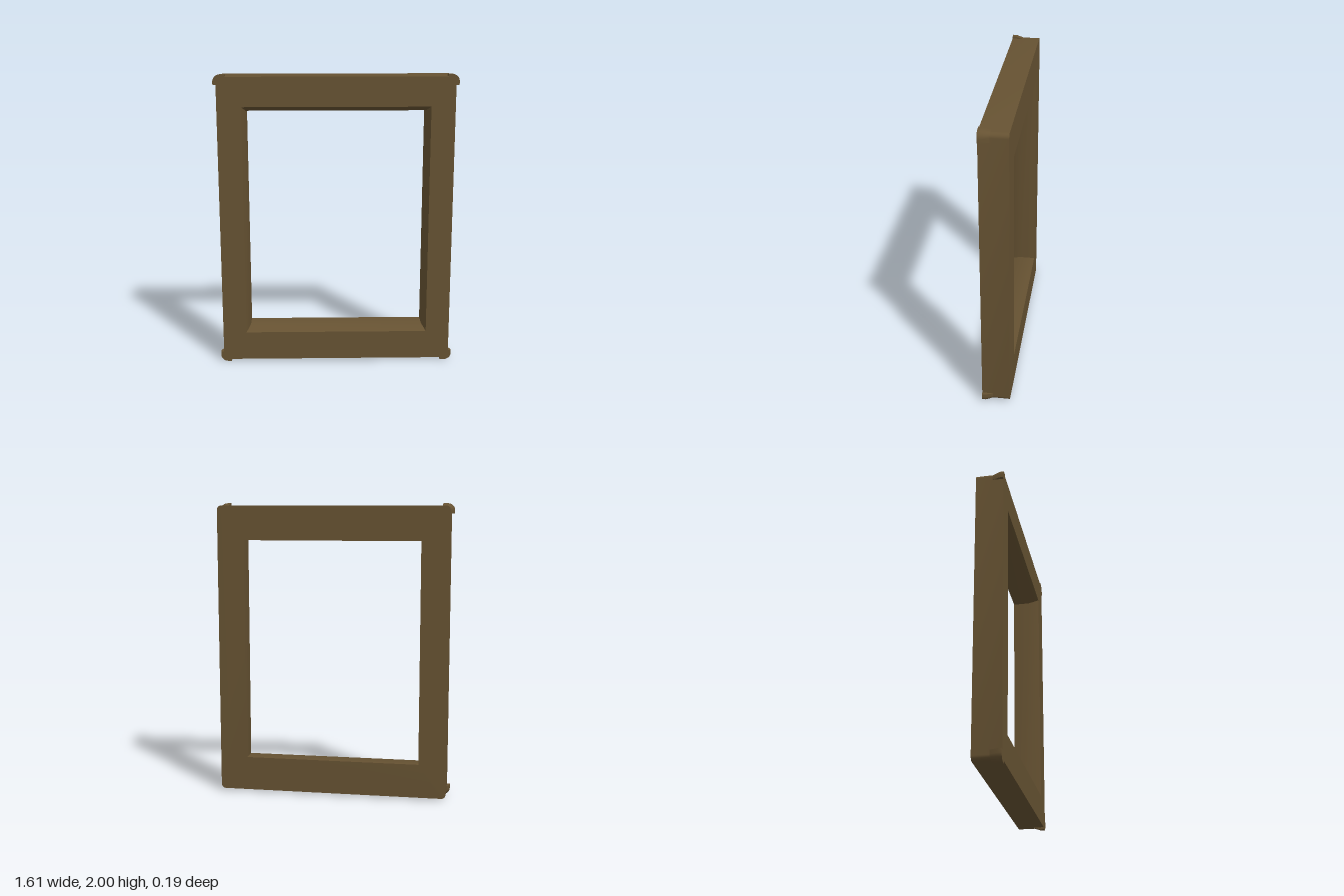
import * as THREE from 'three';
import { toCreasedNormals } from 'three/addons/utils/BufferGeometryUtils.js';

const HALF_W = 0.785, HALF_H = 0.985, RADIUS = 0.03, STEPS = 6;
const FRONT = 0.093;

// Skin a row of closed cross-sections; the row is either a loop or has capped ends
function sweep(stations, closed) {
  const positions = [];
  const ab = new THREE.Vector3(), ac = new THREE.Vector3();
  const tri = (a, b, c) => {
    ab.subVectors(b, a);
    ac.subVectors(c, a);
    if (ab.cross(ac).length() < 1e-9) return;
    for (const p of [a, b, c]) positions.push(p.x, p.y, p.z);
  };
  const count = stations.length, m = stations[0].length;
  for (let i = 0; i < (closed ? count : count - 1); i++) {
    const s = stations[i], t = stations[(i + 1) % count];
    for (let j = 0; j < m; j++) {
      const k = (j + 1) % m;
      tri(s[j], s[k], t[k]);
      tri(s[j], t[k], t[j]);
    }
  }
  if (!closed) {
    const s = stations[0], e = stations[count - 1];
    for (let j = 1; j < m - 1; j++) {
      tri(s[0], s[j + 1], s[j]);
      tri(e[0], e[j], e[j + 1]);
    }
  }
  const geometry = new THREE.BufferGeometry();
  geometry.setAttribute('position', new THREE.Float32BufferAttribute(positions, 3));
  return toCreasedNormals(geometry, 0.5);
}

// Corners in counterclockwise order, starting at the top on the +x side
const corners = [[1, 1], [-1, 1], [-1, -1], [1, -1]].map(([sx, sy], i) => ({
  sx, sy, start: i * Math.PI / 2,
  name: (sy > 0 ? 'top' : 'bottom') + (sx > 0 ? 'Left' : 'Right'),
}));

// Point on the rounded outline, pushed outward by dx, dy and along it by slide
function outline({ sx, sy, start }, step, z, dx = 0, dy = 0, slide = 0) {
  const a = start + (step / STEPS) * Math.PI / 2;
  const c = Math.cos(a), s = Math.sin(a);
  return new THREE.Vector3(
    sx * (HALF_W - RADIUS) + c * (RADIUS + dx) - s * slide,
    1 + sy * (HALF_H - RADIUS) + s * (RADIUS + dy) + c * slide,
    z
  );
}

// Frame with rounded outer corners and an opening that widens towards the front
function frameGeometry() {
  const stations = [];
  for (const corner of corners) {
    const inner = (w, h, z) => new THREE.Vector3(corner.sx * w, 1 + corner.sy * h, z);
    for (let i = 0; i <= STEPS; i++) {
      stations.push([
        outline(corner, i, FRONT),
        outline(corner, i, -0.091),
        inner(0.598, 0.753, -0.094),
        inner(0.598, 0.753, 0.02),
        inner(0.625, 0.787, FRONT),
      ]);
    }
  }
  return sweep(stations, true);
}

// Flared lip that wraps one front corner
function lipGeometry(corner) {
  const station = (step, slide) => [
    outline(corner, step, FRONT, 0.02, 0.015, slide),
    outline(corner, step, 0.07, 0.02, 0.015, slide),
    outline(corner, step, 0.02, 0, 0, slide),
    outline(corner, step, FRONT, 0, 0, slide),
  ];
  const stations = [station(0, -0.027)];
  for (let i = 0; i <= STEPS; i++) stations.push(station(i, 0));
  stations.push(station(STEPS, 0.022));
  return sweep(stations, false);
}

export function createModel() {
  const group = new THREE.Group();
  group.name = 'pictureFrame';
  const wood = new THREE.MeshStandardMaterial({ color: 0x665232 });
  const add = (name, geometry) => {
    const mesh = new THREE.Mesh(geometry, wood);
    mesh.name = name;
    group.add(mesh);
  };
  add('frame', frameGeometry());
  for (const corner of corners) add(corner.name + 'CornerLip', lipGeometry(corner));
  return group;
}
